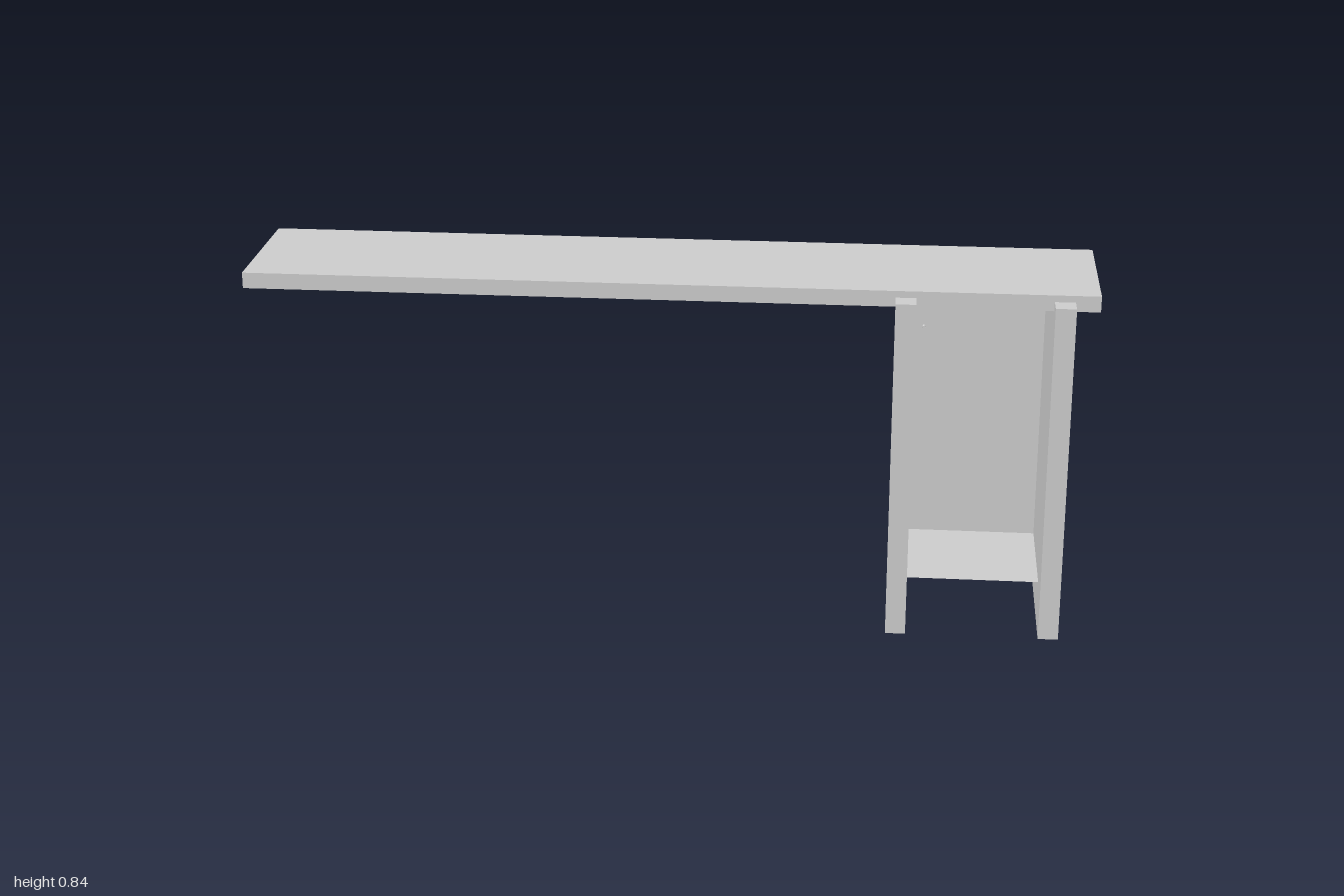
import * as THREE from 'three';

export function createModel() {
  const group = new THREE.Group();
  const material = new THREE.MeshStandardMaterial({ color: 0xcccccc, flatShading: true });
  const thin = new THREE.MeshStandardMaterial({ color: 0xcccccc, flatShading: true, side: THREE.DoubleSide });

  function add(name, geometry, mat = material) {
    const mesh = new THREE.Mesh(geometry, mat);
    mesh.name = name;
    group.add(mesh);
    return mesh;
  }

  // Box given by its lower and upper corners
  function box(name, [x0, y0, z0], [x1, y1, z1]) {
    const mesh = add(name, new THREE.BoxGeometry(x1 - x0, y1 - y0, z1 - z0));
    mesh.position.set((x0 + x1) / 2, (y0 + y1) / 2, (z0 + z1) / 2);
  }

  // Long worktop
  box('worktop', [-1, 0.805, -0.204], [1, 0.843, 0.166]);

  // Side panels, whose front edges stand proud of the worktop
  const xRight = 0.531, xLeft = 0.894, panel = 0.048;
  for (const [name, x] of [['rightPanel', xRight], ['leftPanel', xLeft]]) {
    box(name, [x, 0, -0.194], [x + panel, 0.827, 0.216]);
  }

  // Thin door at the back and thin cabinet floor
  const inner = xRight + panel, width = xLeft - inner, middle = inner + width / 2;
  const doorZ = -0.18, floorY = 0.105, floorFront = 0.12;
  const door = add('door', new THREE.PlaneGeometry(width, 0.805 - floorY), thin);
  door.position.set(middle, (0.805 + floorY) / 2, doorZ);
  const floor = add('cabinetFloor', new THREE.PlaneGeometry(width, floorFront - doorZ), thin);
  floor.rotation.x = -Math.PI / 2;
  floor.position.set(middle, floorY, (floorFront + doorZ) / 2);

  // Bent bar handle on the door
  const path = new THREE.CatmullRomCurve3([
    [0.753, -0.178], [0.744, -0.195], [0.73, -0.209],
    [0.666, -0.209], [0.652, -0.195], [0.643, -0.178],
  ].map(([y, z]) => new THREE.Vector3(0.602, y, z)), false, 'catmullrom', 0.05);
  add('doorHandle', new THREE.TubeGeometry(path, 30, 0.0045, 8), thin);

  return group;
}
